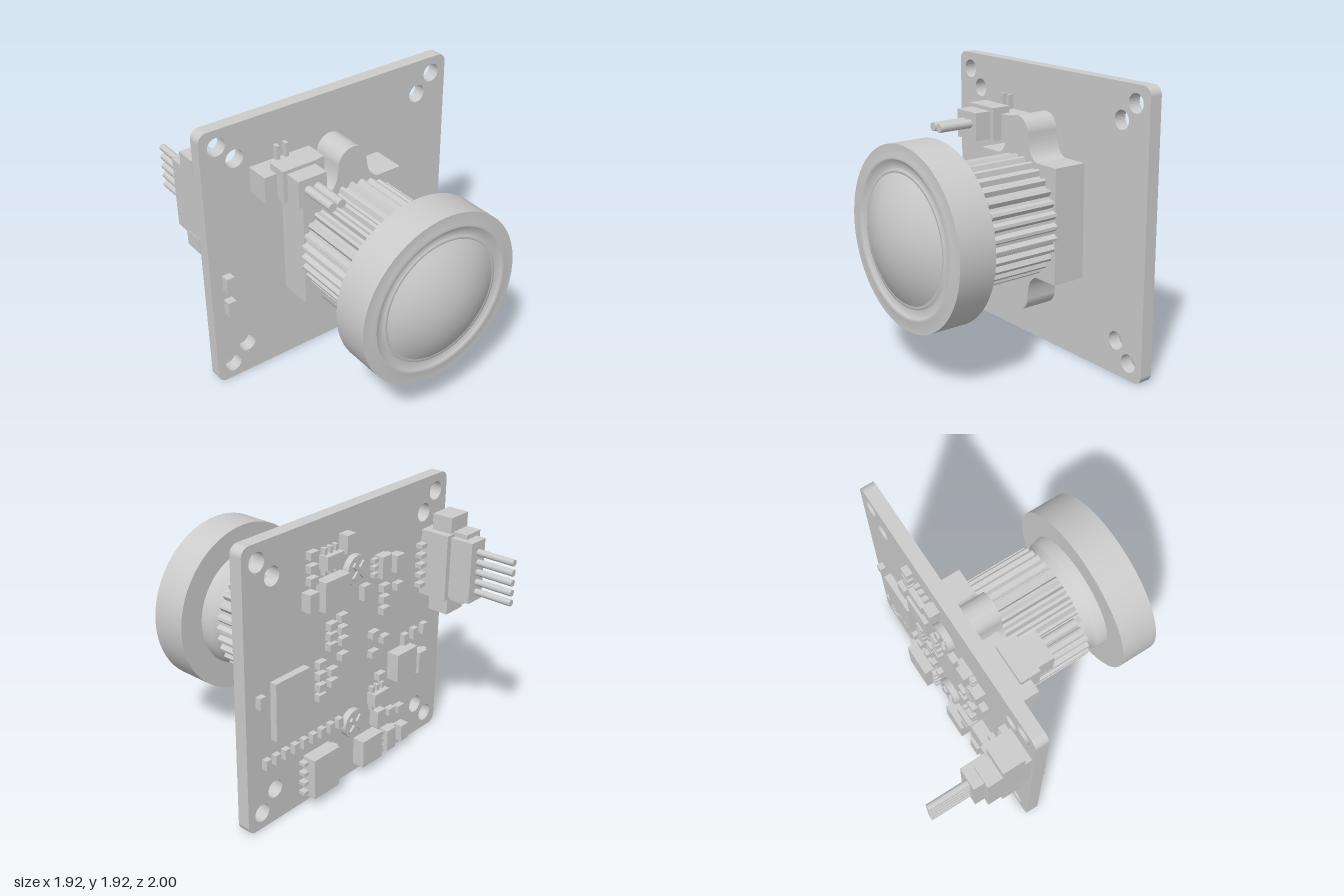
import * as THREE from 'three';

const mat = new THREE.MeshStandardMaterial({ color: 0xcccccc });
const BACK = -0.35, AXIS = 0.97;

export function createModel() {
  const root = new THREE.Group();

  const add = (name, geo, parent = root) => {
    const m = new THREE.Mesh(geo, mat);
    m.name = name;
    parent.add(m);
    return m;
  };
  // Box from its min and max corners
  const box = (name, x0, x1, y0, y1, z0, z1, parent) => {
    const m = add(name, new THREE.BoxGeometry(x1 - x0, y1 - y0, z1 - z0), parent);
    m.position.set((x0 + x1) / 2, (y0 + y1) / 2, (z0 + z1) / 2);
    return m;
  };
  // Rod along z
  const rod = (name, x, y, z0, z1, r, parent) => {
    const m = add(name, new THREE.CylinderGeometry(r, r, z1 - z0, 20), parent);
    m.rotation.x = Math.PI / 2;
    m.position.set(x, y, (z0 + z1) / 2);
    return m;
  };
  // Flat shape extruded from z0 to z1
  const slab = (name, shape, z0, z1) => {
    const m = add(name, new THREE.ExtrudeGeometry(shape, { depth: z1 - z0, bevelEnabled: false, curveSegments: 12 }));
    m.position.z = z0;
    return m;
  };
  const hole = (shape, x, y, r) => shape.holes.push(new THREE.Path().absarc(x, y, r, 0, Math.PI * 2, true));
  // Part soldered on the back of the board
  const chip = (x, y, w, h, d, name = 'smallComponent', parent) =>
    box(name, x - w / 2, x + w / 2, y - h / 2, y + h / 2, BACK - d, BACK, parent);
  // Chip with legs on both sides
  const leggedChip = (x, y, w, h, d, n, vertical = true) => {
    const g = new THREE.Group();
    g.name = 'leggedChip';
    root.add(g);
    chip(x, y, w, h, d, 'chipBody', g);
    const len = vertical ? h : w, half = (vertical ? w : h) / 2;
    for (const s of [-1, 1]) for (let i = 0; i < n; i++) {
      const t = ((i + 0.5) / n - 0.5) * len, o = s * (half + 0.02);
      const [lx, ly] = vertical ? [x + o, y + t] : [x + t, y + o];
      const a = 0.045, b = 0.025;
      chip(lx, ly, vertical ? a : b, vertical ? b : a, d * 0.5, 'chipLeg', g);
    }
  };

  // Circuit board with rounded corners and mounting holes
  const W = 0.96, y0 = 0.01, y1 = 1.93, r = 0.06;
  const board = new THREE.Shape();
  board.absarc(W - r, y0 + r, r, -Math.PI / 2, 0);
  board.absarc(W - r, y1 - r, r, 0, Math.PI / 2);
  board.absarc(-W + r, y1 - r, r, Math.PI / 2, Math.PI);
  board.absarc(-W + r, y0 + r, r, Math.PI, Math.PI * 1.5);
  for (const sx of [-1, 1]) for (const sy of [-1, 1]) {
    hole(board, sx * 0.84, AXIS + sy * 0.845, 0.063);
    hole(board, sx * 0.72, AXIS + sy * 0.725, 0.063);
  }
  slab('circuitBoard', board, BACK, -0.26);

  // Lens holder with a rounded screw ear above and below
  const holder = new THREE.Shape();
  holder.moveTo(0.39, AXIS - 0.39);
  holder.lineTo(0.39, AXIS + 0.39);
  holder.lineTo(0.2, AXIS + 0.39);
  holder.quadraticCurveTo(0.12, AXIS + 0.41, 0.11, AXIS + 0.56);
  holder.absarc(0, AXIS + 0.56, 0.11, 0, Math.PI);
  holder.quadraticCurveTo(-0.12, AXIS + 0.41, -0.2, AXIS + 0.39);
  holder.lineTo(-0.39, AXIS + 0.39);
  holder.lineTo(-0.39, AXIS - 0.39);
  holder.lineTo(-0.2, AXIS - 0.39);
  holder.quadraticCurveTo(-0.12, AXIS - 0.41, -0.11, AXIS - 0.56);
  holder.absarc(0, AXIS - 0.56, 0.11, Math.PI, Math.PI * 2);
  holder.quadraticCurveTo(0.12, AXIS - 0.41, 0.2, AXIS - 0.39);
  slab('lensHolder', holder, -0.26, -0.02);

  // Ribbed barrel
  const ribs = 32, pts = [];
  for (let i = 0; i < ribs * 4; i++) {
    const a = (i / (ribs * 4)) * Math.PI * 2, rad = i % 4 < 2 ? 0.415 : 0.385;
    pts.push(new THREE.Vector2(Math.cos(a) * rad, AXIS + Math.sin(a) * rad));
  }
  slab('ribbedBarrel', new THREE.Shape(pts), -0.02, 0.47);

  // Turned lens parts, profiles are [radius, z]
  const turned = (name, profile) => {
    const m = add(name, new THREE.LatheGeometry(profile.map(p => new THREE.Vector2(...p)), 64));
    m.rotation.x = Math.PI / 2;
    m.position.y = AXIS;
  };
  turned('lensNeck', [[0.34, 0.46], [0.36, 0.53], [0.405, 0.54], [0.42, 0.62]]);
  turned('lensRing', [[0.4, 0.61], [0.6, 0.61], [0.6, 0.61], [0.6, 0.87], [0.6, 0.87], [0.52, 0.87],
    [0.51, 0.885], [0.5, 0.87], [0.45, 0.85], [0.44, 0.87], [0.41, 0.87], [0.4, 0.84]]);
  const dome = [];
  for (let i = 0; i <= 14; i++) {
    const t = 1 - i / 14;
    dome.push([0.42 * t, 0.765 + Math.sqrt(0.235 ** 2 + 0) - 0.13 * t * t]);
  }
  turned('glassDome', dome);

  // Cross-head screws behind the ears
  for (const s of [-1, 1]) {
    const y = AXIS + s * 0.55;
    rod('screwHead', 0, y, BACK - 0.045, BACK, 0.1);
    for (const q of [-1, 1]) {
      const bar = box('screwCross', -0.07, 0.07, y - 0.015, y + 0.015, BACK - 0.06, BACK - 0.04);
      bar.rotation.z = q * Math.PI / 4;
    }
  }

  // Two-pin connector on the front
  const front = new THREE.Group();
  front.name = 'frontConnector';
  root.add(front);
  box('connectorBase', -0.62, -0.17, 1.42, 1.6, -0.26, -0.09, front);
  box('connectorBody', -0.53, -0.26, 1.42, 1.645, -0.16, -0.02, front);
  box('connectorNose', -0.5, -0.29, 1.43, 1.62, -0.02, 0.1, front);
  for (const x of [-0.427, -0.36]) {
    rod('wire', x, 1.54, 0.1, 0.35, 0.03, front);
    box('contact', x - 0.012, x + 0.012, 1.6, 1.7, -0.26, -0.22, front);
  }

  // Small front components
  for (const y of [0.65, 0.84]) box('frontComponent', -0.885, -0.825, y - 0.055, y + 0.055, -0.24, -0.18);

  // Five-pin connector on the back
  const rear = new THREE.Group();
  rear.name = 'rearConnector';
  root.add(rear);
  box('connectorBase', -0.94, -0.71, 1.12, 1.58, -0.56, BACK, rear);
  box('connectorShell', -0.94, -0.79, 1.1, 1.59, -0.655, -0.55, rear);
  box('connectorPlug', -0.9, -0.75, 1.135, 1.56, -0.725, -0.46, rear);
  for (const y of [1.06, 1.635]) box('connectorTab', -0.94, -0.76, y - 0.06, y + 0.055, -0.55, -0.4, rear);
  for (let i = 0; i < 5; i++) {
    const y = 1.2 + i * 0.07;
    rod('wire', -0.83, y, -1, -0.72, 0.023, rear);
    box('contact', -0.71, -0.65, y - 0.015, y + 0.015, BACK - 0.05, BACK, rear);
  }

  // Large parts on the back
  chip(0.6, 0.82, 0.3, 0.4, 0.05, 'processor');
  chip(0.23, 1.45, 0.22, 0.2, 0.08, 'inductor');
  chip(-0.49, 0.69, 0.21, 0.2, 0.09, 'inductor');
  chip(-0.14, 0.17, 0.2, 0.2, 0.09, 'inductor');
  leggedChip(0.34, 0.22, 0.24, 0.29, 0.1, 4);
  leggedChip(0.24, 1.66, 0.15, 0.09, 0.07, 3, false);
  leggedChip(-0.26, 1.47, 0.09, 0.15, 0.07, 3);
  leggedChip(-0.7, 0.62, 0.09, 0.16, 0.07, 3);
  leggedChip(-0.25, 0.52, 0.15, 0.09, 0.07, 3, false);
  leggedChip(-0.37, 0.14, 0.09, 0.16, 0.07, 3);

  // Medium capacitors
  for (const [x, y] of [[0.43, 1.45], [-0.4, 1.45], [0.095, 1.73], [-0.25, 0.36], [-0.52, 0.13]])
    chip(x, y, 0.08, 0.12, 0.07, 'capacitor');

  // Scattered small parts
  for (const [x, y] of [[0.4, 1.735], [0.4, 1.65], [0.4, 1.57], [-0.1, 1.36], [-0.1, 1.31],
    [0.22, 1.14], [0.22, 1.07], [0.22, 1.21], [0.12, 1.235], [0.12, 1.15], [0.11, 1.07], [0.11, 0.96],
    [0.32, 0.98], [0.32, 0.9], [0.32, 0.82], [0.32, 0.75], [0.21, 0.89], [0.21, 0.81], [-0.3, 1.3],
    [-0.3, 1.22], [-0.3, 1.14], [-0.44, 1.27], [-0.2, 1.0], [-0.2, 0.86], [-0.31, 0.93],
    [-0.28, 0.66], [-0.4, 0.34], [-0.5, 0.32]])
    chip(x, y, 0.07, 0.05, 0.045);
  for (let i = 0; i < 9; i++) chip(0.81 - i * 0.084, 0.48, 0.045, 0.07, 0.04);
  for (const [x, y] of [[0.85, 0.93], [-0.54, 0.84], [-0.64, 0.85], [-0.75, 0.85]]) chip(x, y, 0.05, 0.08, 0.04);

  return root;
}
